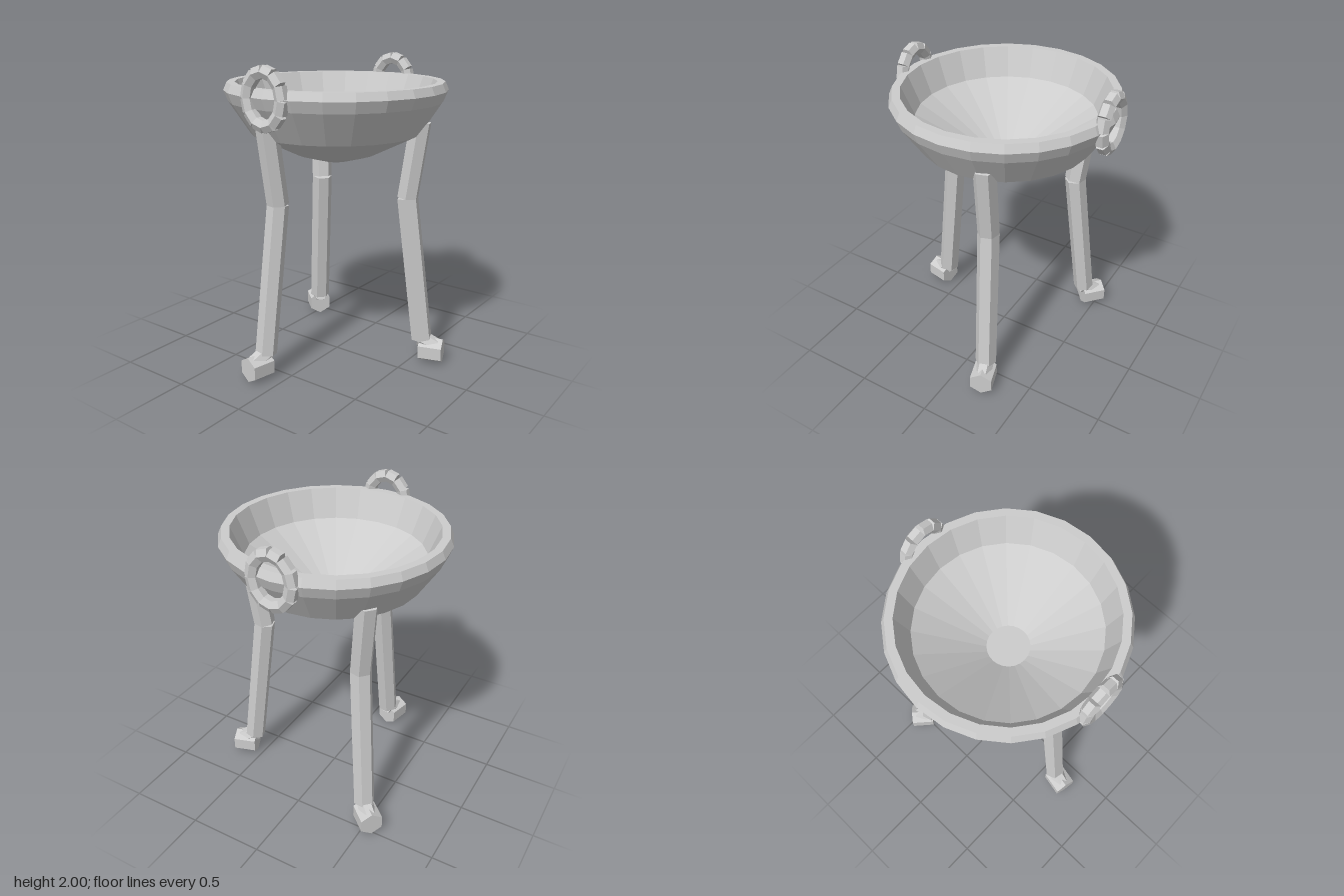
import * as THREE from 'three';

const CX = 0.009, CZ = -0.015; // bowl axis

export function createModel() {
  const model = new THREE.Group();
  const metal = new THREE.MeshStandardMaterial({ color: 0xcccccc, flatShading: true });
  metal.name = 'grey metal';

  // Hexagonal bar between two points of the local xy plane
  function bar(name, [x0, y0], [x1, y1], radius, spin = 0) {
    const dx = x1 - x0, dy = y1 - y0;
    const geo = new THREE.CylinderGeometry(radius, radius, Math.hypot(dx, dy), 6);
    geo.rotateY(spin);
    geo.rotateZ(Math.atan2(dy, dx) - Math.PI / 2);
    geo.translate((x0 + x1) / 2, (y0 + y1) / 2, 0);
    const mesh = new THREE.Mesh(geo, metal);
    mesh.name = name;
    return mesh;
  }

  // Bowl: outside from the open base up, over the rim and down the inside
  const profile = [
    [0.09, 1.345], [0.265, 1.395], [0.55, 1.535], [0.684, 1.74], [0.712, 1.81],
    [0.69, 1.86], [0.64, 1.86], [0.565, 1.675], [0.135, 1.412], [0, 1.412],
  ].map(([r, y]) => new THREE.Vector2(r, y));
  const bowl = new THREE.Mesh(new THREE.LatheGeometry(profile, 24), metal);
  bowl.name = 'bowl';
  bowl.position.set(CX, 0, CZ);
  model.add(bowl);

  // Three bent legs; local x points outward
  for (const degrees of [72, 192, 312]) {
    const leg = new THREE.Group();
    leg.name = 'leg';
    leg.add(
      bar('upperLeg', [0.485, 1.127], [0.555, 1.622], 0.07),
      bar('lowerLeg', [0.607, 0.157], [0.485, 1.127], 0.07),
      bar('ankle', [0.595, 0.16], [0.705, 0.11], 0.055),
      bar('foot', [0.597, 0.083], [0.752, 0.083], 0.083, Math.PI / 6),
    );
    leg.position.set(CX, 0, CZ);
    leg.rotation.y = -THREE.MathUtils.degToRad(degrees);
    model.add(leg);
  }

  // Ring handles made of short links
  for (const side of [-1, 1]) {
    const handle = new THREE.Group();
    handle.name = side > 0 ? 'leftHandle' : 'rightHandle';
    const at = (i) => {
      const a = (i / 12) * Math.PI * 2;
      return [0.13 * Math.sin(a), 0.157 * Math.cos(a)];
    };
    for (let i = 0; i < 12; i++) handle.add(bar('handleLink', at(i), at(i + 1), 0.042));
    handle.position.set(CX + side * 0.687, 1.807, CZ);
    handle.rotation.y = Math.PI / 2;
    model.add(handle);
  }

  return model;
}
